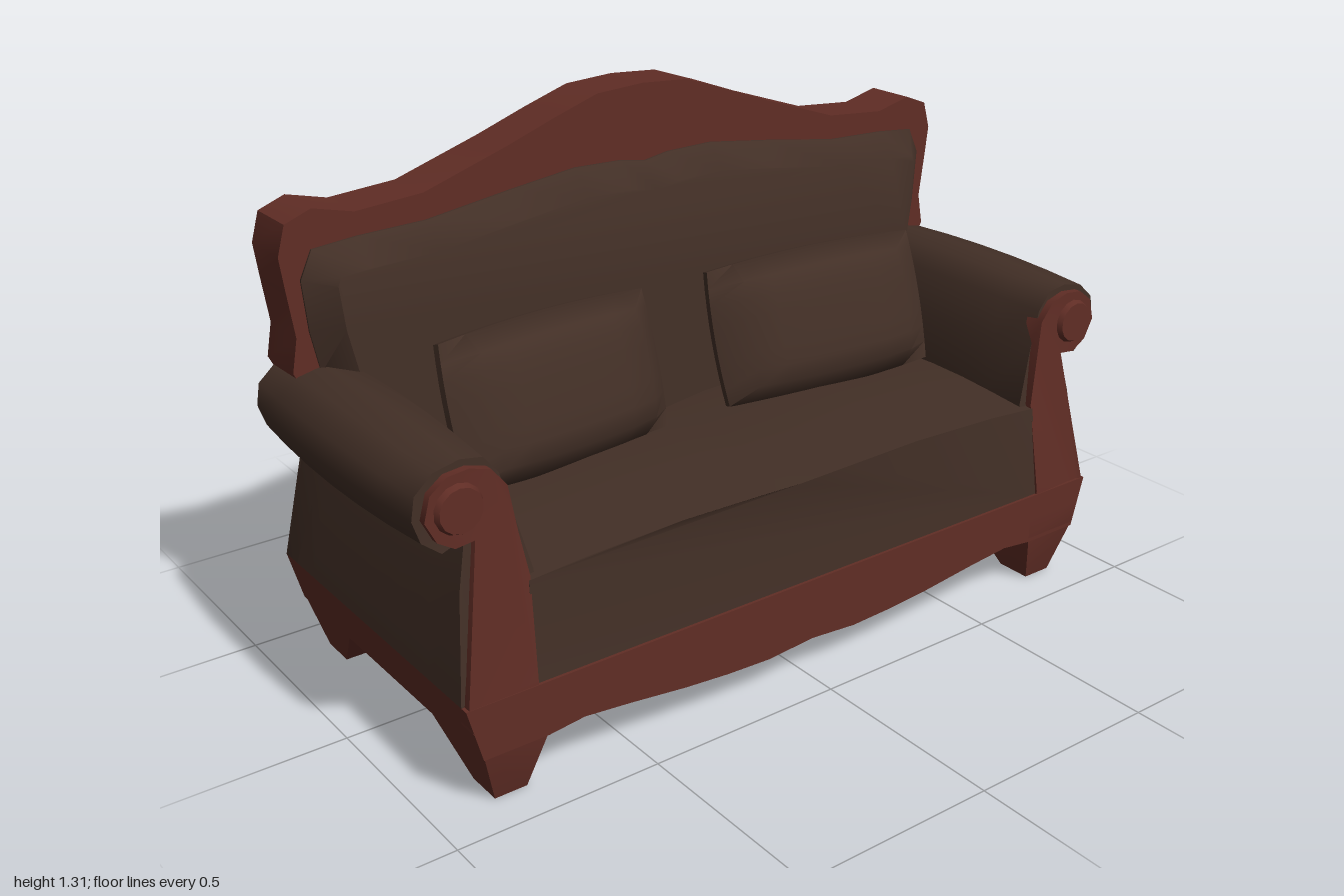
import * as THREE from 'three';
import { toCreasedNormals } from 'three/addons/utils/BufferGeometryUtils.js';

const wood = new THREE.MeshStandardMaterial({ color: 0x602d25 });
const fabric = new THREE.MeshStandardMaterial({ color: 0x422f26 });

const lerp = THREE.MathUtils.lerp;
const step = (y, y0, y1, a, b) => lerp(a, b, THREE.MathUtils.clamp((y - y0) / (y1 - y0), 0, 1));
const shapeOf = pts => new THREE.Shape(pts.map(p => new THREE.Vector2(p[0], p[1])));
// Full closed outline from its right half
const mirrored = half => [...half, ...half.filter(p => p[0] !== 0).reverse().map(([x, y]) => [-x, y])];

function moveVertices(geo, rule) {
  const p = geo.attributes.position, v = new THREE.Vector3();
  for (let i = 0; i < p.count; i++) {
    rule(v.fromBufferAttribute(p, i));
    p.setXYZ(i, v.x, v.y, v.z);
  }
  return geo;
}

function mesh(name, geo, material, crease = 0.75) {
  const m = new THREE.Mesh(toCreasedNormals(geo, crease), material);
  m.name = name;
  return m;
}

// Outline run from back(y) to front(y), with an optional extra rule (v, u)
function run(name, pts, back, front, material, steps = 1, extra = null) {
  const geo = new THREE.ExtrudeGeometry(shapeOf(pts), { depth: 1, steps, bevelEnabled: false });
  moveVertices(geo, v => {
    const u = v.z, y = v.y;
    v.z = lerp(back(y), front(y), u);
    if (extra) extra(v, u);
  });
  return mesh(name, geo, material);
}

// Lean of the front and back faces
const frontZ = y => step(y, 0.26, 0.6, 0.41, 0.36);
const backZ = y => y < 0.5 ? step(y, 0.26, 0.5, -0.425, -0.375) : -0.37;

function leg(sx, sz) {
  // y, x inner, x outer, z inner, z outer of each ring
  const rings = [[0, 0.77, 0.85, 0.305, 0.395], [0.14, 0.73, 0.89, 0.185, 0.43], [0.2, 0.73, 0.905, 0.185, 0.43]];
  const pos = [], idx = [];
  for (const [y, xi, xo, zi, zo] of rings)
    for (const [x, z] of [[xi, zi], [xi, zo], [xo, zo], [xo, zi]]) pos.push(x * sx, y, z * sz);
  const quad = (a, b, c, d) => sx * sz > 0 ? idx.push(a, b, c, a, c, d) : idx.push(a, c, b, a, d, c);
  for (let r = 0; r < 2; r++)
    for (let i = 0; i < 4; i++) {
      const j = (i + 1) % 4, o = r * 4;
      quad(o + i, o + j, o + 4 + j, o + 4 + i);
    }
  quad(3, 2, 1, 0);
  const geo = new THREE.BufferGeometry();
  geo.setAttribute('position', new THREE.Float32BufferAttribute(pos, 3));
  geo.setIndex(idx);
  return mesh('leg', geo, wood, 0.4);
}

function arm(s) {
  const g = new THREE.Group();
  g.name = s > 0 ? 'leftArm' : 'rightArm';
  const flip = pts => pts.map(([x, y]) => [x * s, y]);
  // Padded scroll arm with the side panel below it
  const profile = [[0.74, 0.26], [0.925, 0.26], [0.895, 0.5], [0.87, 0.6], [0.93, 0.58], [0.98, 0.62], [1, 0.68],
    [0.99, 0.74], [0.94, 0.785], [0.87, 0.8], [0.81, 0.79], [0.77, 0.74], [0.745, 0.63], [0.72, 0.5]];
  g.add(run('armPadding', flip(profile), backZ, frontZ, fabric, 6, (v, u) => {
    if (v.y < 0.55) return;
    const t = (u - 0.5) * 2, k = 1 - 0.13 * t * t;
    v.x = s * (0.87 + (s * v.x - 0.87) * k);
    v.y = 0.69 + (v.y - 0.69) * k;
  }));
  // Carved wooden front
  const face = [[0.75, 0.2], [0.91, 0.2], [0.917, 0.26], [0.875, 0.5], [0.855, 0.61], [0.9, 0.605], [0.94, 0.63], [0.965, 0.68],
    [0.95, 0.735], [0.91, 0.765], [0.86, 0.77], [0.81, 0.755], [0.775, 0.71], [0.755, 0.6], [0.74, 0.5], [0.75, 0.27]];
  g.add(run('armFront', flip(face), y => frontZ(y) - 0.03, y => frontZ(y) + 0.019, wood));
  const boss = mesh('scrollBoss', new THREE.CylinderGeometry(0.05, 0.065, 0.03, 14).rotateX(Math.PI / 2), wood);
  boss.position.set(0.888 * s, 0.69, 0.377);
  g.add(boss);
  return g;
}

function pillow(s) {
  const geo = new THREE.BoxGeometry(0.6, 0.34, 0.16, 8, 8, 2);
  // Puffed in the middle, thin at the seams
  moveVertices(geo, v => {
    const a = Math.min(1, Math.abs(v.x) / 0.3), b = Math.min(1, Math.abs(v.y) / 0.17);
    v.z *= 0.12 + 0.88 * Math.sqrt((1 - a ** 4) * (1 - b ** 4));
    v.x *= 1 + 0.03 * (1 - b * b);
    v.y *= 1 + 0.08 * (1 - a * a);
  });
  const m = mesh(s > 0 ? 'leftPillow' : 'rightPillow', geo, fabric, 0.9);
  m.rotation.set(-0.3, -0.14 * s, 0.03 * s, 'YXZ');
  m.position.set(0.395 * s, 0.69, -0.035);
  return m;
}

export function createModel() {
  const model = new THREE.Group();
  model.name = 'sofa';

  // Scalloped wooden base on four tapered legs
  const base = mirrored([[0, 0.105], [0.13, 0.095], [0.25, 0.1], [0.37, 0.11], [0.52, 0.128], [0.64, 0.14],
    [0.73, 0.13], [0.89, 0.13], [0.925, 0.26]]);
  model.add(run('base', base, () => -0.43, () => 0.43, wood));
  for (const sx of [1, -1]) for (const sz of [1, -1]) model.add(leg(sx, sz));

  // Seat with a soft double crown and a dip in the middle
  const seat = mirrored([[0.755, 0.255], [0.745, 0.49], [0.6, 0.5], [0.35, 0.508], [0.12, 0.503], [0, 0.488]]);
  model.add(run('seat', seat, () => -0.28, y => step(y, 0.26, 0.5, 0.423, 0.395), fabric, 6, (v, u) => {
    if (v.y < 0.4) return;
    v.y += 0.02 * Math.sin(Math.PI * u);
    if (u === 1 && Math.abs(v.x) < 0.05) v.z -= 0.02;
  }));

  for (const s of [1, -1]) model.add(arm(s), pillow(s));

  // Carved back frame
  const frame = mirrored([[0.8, 0.45], [0.9, 0.7], [0.945, 0.79], [0.93, 0.87], [0.945, 0.98], [0.955, 1.06], [0.935, 1.13],
    [0.87, 1.155], [0.77, 1.13], [0.6, 1.143], [0.38, 1.215], [0.25, 1.262], [0.13, 1.302], [0, 1.31]]);
  model.add(run('backFrame', frame, () => -0.375, () => -0.24, wood));

  // Upholstered back cushion with sloping edges
  const cushion = mirrored([[0.86, 0.42], [0.88, 0.78], [0.9, 0.88], [0.91, 1.0], [0.88, 1.065],
    [0.77, 1.075], [0.6, 1.08], [0.38, 1.112], [0.2, 1.135], [0.07, 1.132], [0, 1.12]]);
  const cushionGeo = new THREE.ExtrudeGeometry(shapeOf(cushion), {
    depth: 0.05, bevelThickness: 0.06, bevelSize: 0.06, bevelOffset: -0.06, bevelSegments: 1 });
  cushionGeo.translate(0, 0, -0.285);
  moveVertices(cushionGeo, v => { if (v.z > -0.2) v.z = step(v.y, 0.5, 1.03, -0.15, -0.182); });
  model.add(mesh('backCushion', cushionGeo, fabric));

  // Rear upholstery, upright above and flaring out to the base
  const rear = mirrored([[0.895, 0.5], [0.87, 0.6], [0.885, 0.78], [0.885, 0.88], [0.905, 1.0], [0.89, 1.07], [0.84, 1.09],
    [0.77, 1.08], [0.6, 1.09], [0.38, 1.145], [0.2, 1.19], [0.07, 1.205], [0, 1.2]]);
  model.add(run('rearUpholstery', rear, () => -0.38, () => -0.36, fabric));
  const skirt = [[0.925, 0.26], [0.895, 0.5], [-0.895, 0.5], [-0.925, 0.26]];
  model.add(run('rearSkirt', skirt, y => step(y, 0.26, 0.5, -0.43, -0.38), () => -0.3, fabric));
  return model;
}
